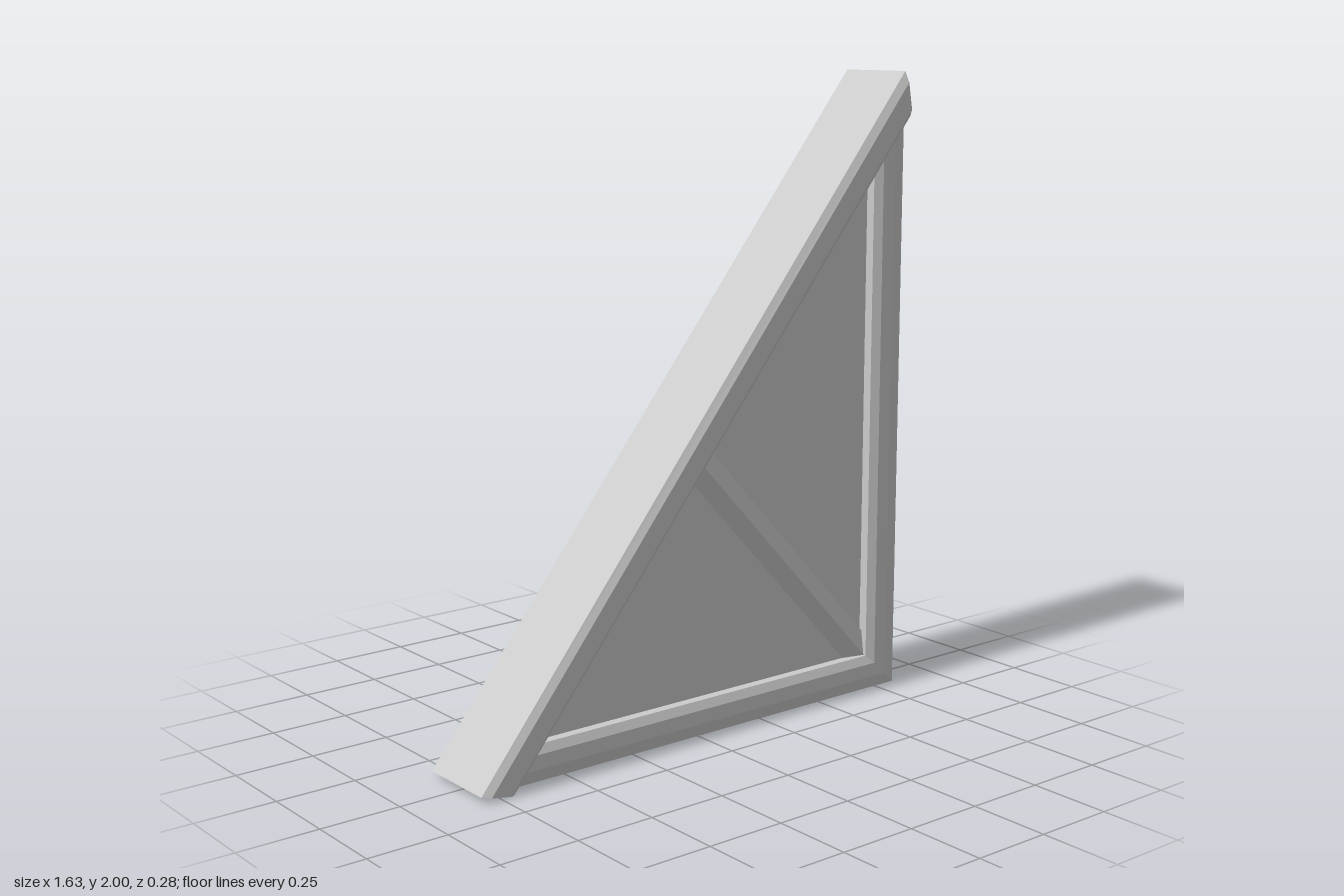
import * as THREE from 'three';

const material = new THREE.MeshStandardMaterial({ color: 0xcccccc, flatShading: true });

// Beam between two skewed ends. Each end is [outer, inner] edge points in the xy plane;
// half lists [t, z] from the outer (t = 0) to the inner edge (t = 1), mirrored in z.
function beam(name, endA, endB, half) {
  const profile = [...half.map(([t, z]) => [t, -z]), ...half.slice().reverse()];
  const ring = ([o, i]) => profile.map(([t, z]) =>
    [o[0] + (i[0] - o[0]) * t, o[1] + (i[1] - o[1]) * t, z]);
  const u = [endA[1][0] - endA[0][0], endA[1][1] - endA[0][1]];
  const l = [endB[0][0] - endA[0][0], endB[0][1] - endA[0][1]];
  const forward = l[0] * u[1] - l[1] * u[0] > 0;
  const a = ring(forward ? endA : endB);
  const b = ring(forward ? endB : endA);
  const n = profile.length;
  const pos = [];
  const tri = (...points) => points.forEach((p) => pos.push(...p));
  for (let i = 0; i < n; i++) {
    const j = (i + 1) % n;
    tri(a[i], a[j], b[j]);
    tri(a[i], b[j], b[i]);
    if (i > 0 && j > 0) {
      tri(b[0], b[i], b[j]);
      tri(a[0], a[j], a[i]);
    }
  }
  const geometry = new THREE.BufferGeometry();
  geometry.setAttribute('position', new THREE.Float32BufferAttribute(pos, 3));
  geometry.computeVertexNormals();
  const mesh = new THREE.Mesh(geometry, material);
  mesh.name = name;
  return mesh;
}

export function createModel() {
  const group = new THREE.Group();
  group.name = 'triangularWallFrame';

  // Sloping top beam, slightly wider than the rest, with bevelled edges
  group.add(beam('slopingBeam',
    [[-0.815, 0.025], [-0.705, 0.005]],
    [[0.79, 2.0], [0.815, 1.86]],
    [[0, 0.13], [0.25, 0.142], [0.85, 0.142], [1, 0.13]]));

  // Post and sill share a mitred corner
  const corner = [[0.8, 0.02], [0.68, 0.13]];
  const timber = [[0, 0.118], [0.35, 0.126], [0.75, 0.126], [1, 0.115]];
  group.add(beam('post', corner, [[0.8, 1.87], [0.68, 1.73]], timber));
  group.add(beam('sill', [[-0.72, 0.02], [-0.63, 0.13]], corner, timber));

  // Recessed infill panel
  const outline = new THREE.Shape([
    new THREE.Vector2(-0.72, 0.07),
    new THREE.Vector2(0.74, 0.07),
    new THREE.Vector2(0.74, 1.79),
  ]);
  const panelGeometry = new THREE.ExtrudeGeometry(outline, { depth: 0.17, bevelEnabled: false });
  panelGeometry.translate(0, 0, -0.085);
  const panel = new THREE.Mesh(panelGeometry, material);
  panel.name = 'panel';
  group.add(panel);

  // Low ridged brace from the corner to the sloping beam, showing on both faces
  group.add(beam('brace',
    [[0.02, 0.917], [-0.06, 0.843]],
    [[0.74, 0.147], [0.66, 0.073]],
    [[0, 0.093], [0.5, 0.105], [1, 0.086]]));

  return group;
}
